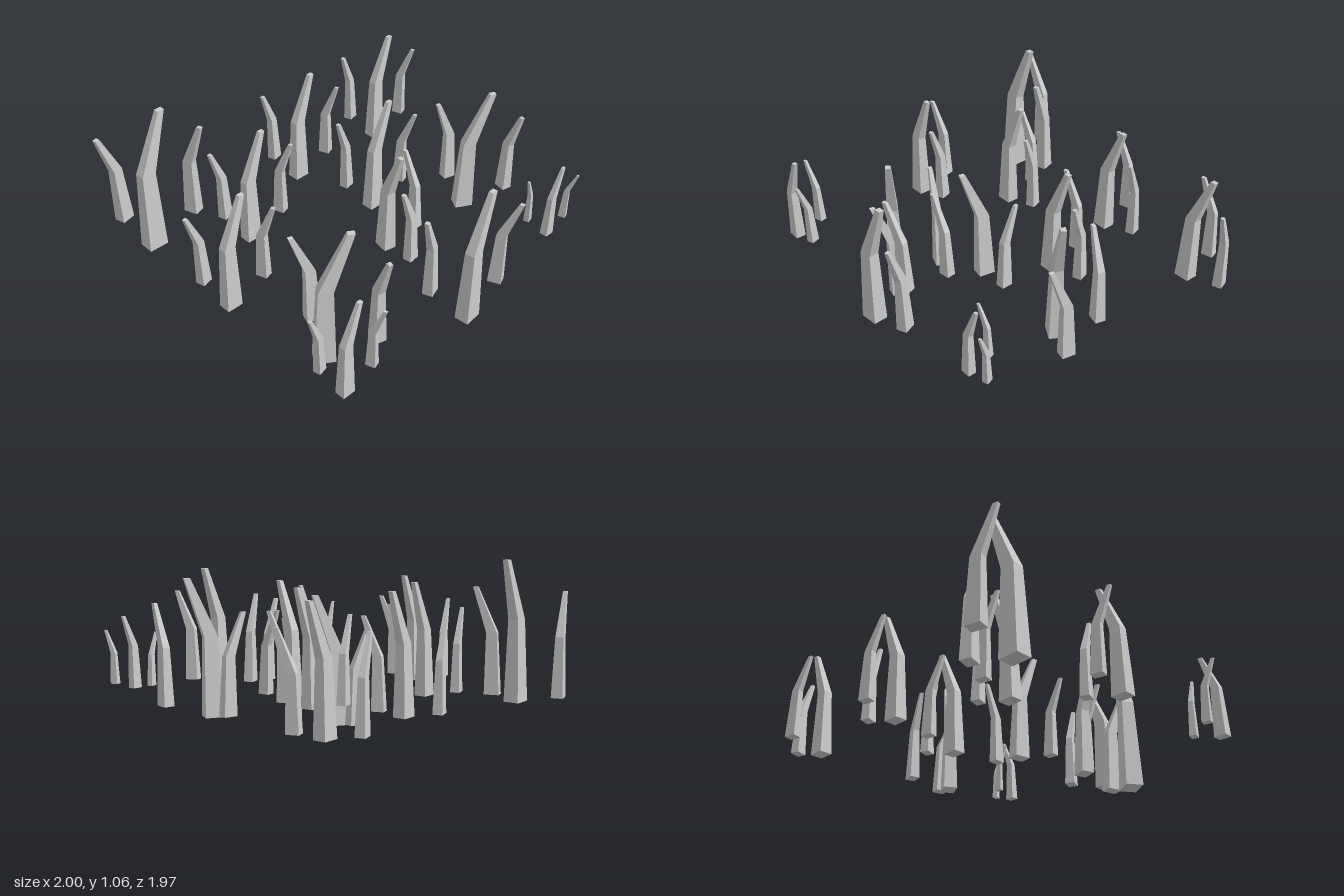
import * as THREE from 'three';

const HEIGHT = 0.82;
// Cross-sections from base to tip: height fraction, lean, width, depth
const SECTIONS = [
  [0, 0, 0.115, 0.091],
  [0.58, 0.012, 0.082, 0.063],
  [1, 0.145, 0.038, 0.031],
];

// Bent, tapering four-sided spike leaning towards +x
function spikeGeometry() {
  const box = new THREE.BoxGeometry(1, 2, 1, 1, 2, 1);
  const p = box.attributes.position;
  for (let i = 0; i < p.count; i++) {
    const [t, lean, w, d] = SECTIONS[Math.round(p.getY(i)) + 1];
    p.setXYZ(i, lean + p.getX(i) * w, t * HEIGHT, p.getZ(i) * d);
  }
  const geometry = box.toNonIndexed();
  geometry.computeVertexNormals();
  return geometry;
}

// Each cluster holds one large spike and two smaller ones: offset, heading, scale
const SPIKES = [
  { name: 'largeSpike', at: [0, 0, 0], turn: 0, scale: 1 },
  { name: 'sideSpike', at: [0.283, 0.085, -0.005], turn: -72, scale: 0.72 },
  { name: 'rearSpike', at: [-0.02, 0.05, -0.255], turn: 194, scale: 0.72 },
];

// Clusters: x, z, scale, turn in degrees, optional base height
const CLUSTERS = [
  [-0.865, -0.695, 1, 0],
  [-0.475, -0.322, 0.79, 0],
  [-0.893, 0.028, 0.79, 0],
  [0.098, -0.572, 0.79, 0],
  [0.738, -0.572, 0.79, 0],
  [0.214, -0.06, 0.79, 0],
  [-0.9, 0.877, 0.62, 0],
  [0.65, 0.842, 0.49, 0],
  [-0.072, 0.903, 0.88, 5],
  [-0.615, 0.417, 1, -33, 0],
  [0.617, 0.27, 0.88, -30],
  [0.01, 0.245, 0.79, -101],
];

export function createModel() {
  const model = new THREE.Group();
  model.name = 'spikeField';
  const geometry = spikeGeometry();
  const material = new THREE.MeshStandardMaterial({ color: 0xcccccc, flatShading: true });

  CLUSTERS.forEach(([x, z, scale, turn, y = 0.485 - 0.24 * scale], i) => {
    const cluster = new THREE.Group();
    cluster.name = `spikeCluster${i + 1}`;
    for (const spike of SPIKES) {
      const mesh = new THREE.Mesh(geometry, material);
      mesh.name = spike.name;
      mesh.position.set(...spike.at);
      mesh.rotation.y = THREE.MathUtils.degToRad(spike.turn);
      mesh.scale.setScalar(spike.scale);
      cluster.add(mesh);
    }
    cluster.position.set(x, y, z);
    cluster.rotation.y = THREE.MathUtils.degToRad(turn);
    cluster.scale.setScalar(scale);
    model.add(cluster);
  });
  return model;
}
